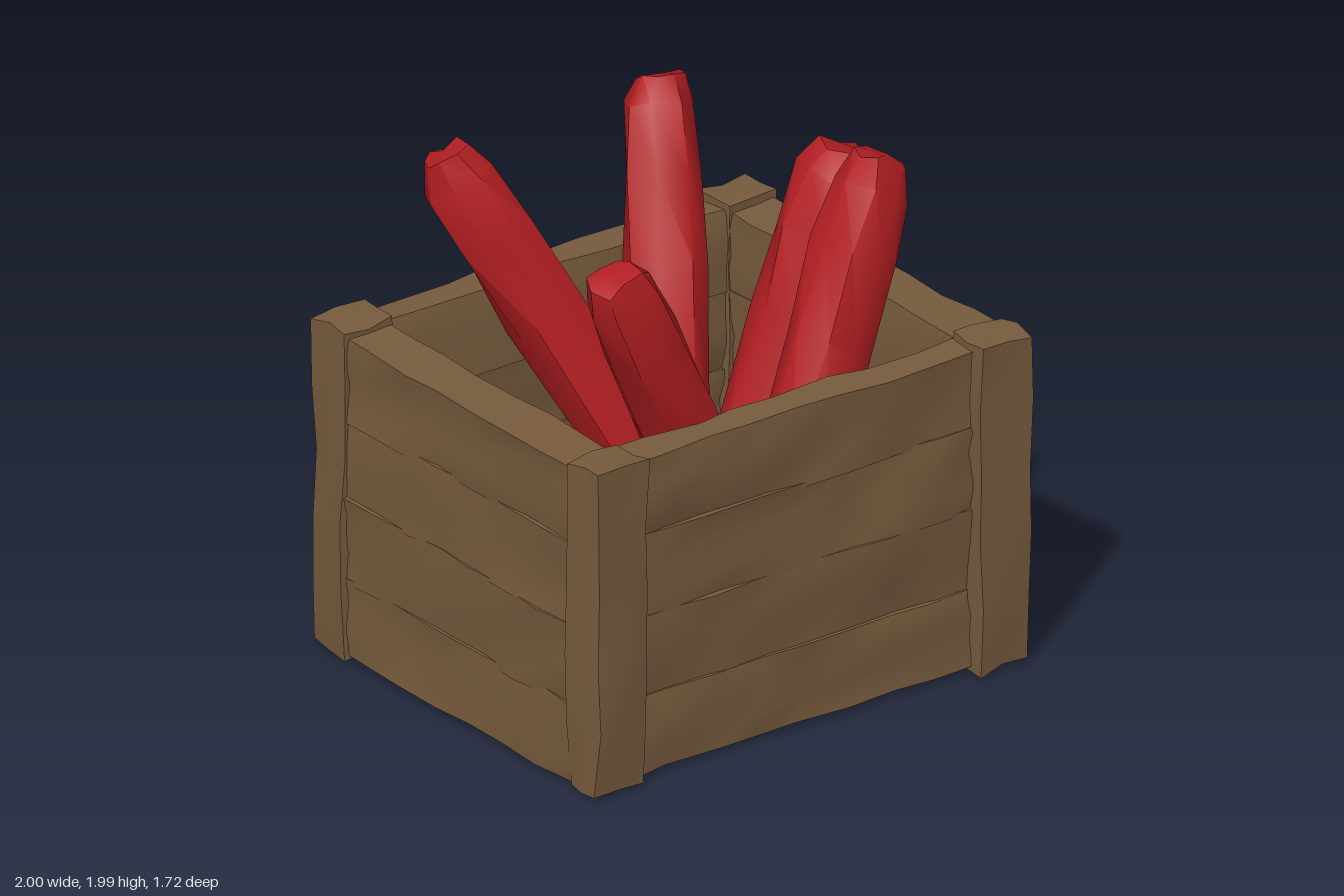
import * as THREE from 'three';
import { toCreasedNormals } from 'three/addons/utils/BufferGeometryUtils.js';

// repeatable noise from a position, so shared corners stay joined
function hash(x, y, z, seed) {
  const r = (v) => Math.round(v * 1000) / 1000;
  const s = Math.sin(r(x) * 127.1 + r(y) * 311.7 + r(z) * 74.7 + seed * 53.3) * 43758.5453;
  return (s - Math.floor(s)) * 2 - 1;
}

// dent a geometry by up to (ax, ay, az), then keep the sharper edges
function roughen(geo, ax, ay, az, seed, crease = 0.8) {
  const p = geo.attributes.position;
  for (let i = 0; i < p.count; i++) {
    const x = p.getX(i), y = p.getY(i), z = p.getZ(i);
    p.setXYZ(i,
      x + ax * hash(x, y, z, seed),
      y + ay * hash(x, y, z, seed + 1),
      z + az * hash(x, y, z, seed + 2));
  }
  return toCreasedNormals(geo, crease);
}

export function createModel() {
  const group = new THREE.Group();
  const wood = new THREE.MeshStandardMaterial({ color: 0x775b3d });
  wood.name = 'brown wood';
  const red = new THREE.MeshStandardMaterial({ color: 0xb21e22 });
  red.name = 'red';

  const add = (name, geo, mat, x, y, z) => {
    const mesh = new THREE.Mesh(geo, mat);
    mesh.name = name;
    mesh.position.set(x, y, z);
    group.add(mesh);
    return mesh;
  };

  // corner posts
  let seed = 1;
  for (const sx of [-1, 1]) {
    for (const sz of [-1, 1]) {
      const geo = roughen(new THREE.BoxGeometry(0.225, 1.3, 0.18, 2, 5, 2), 0.013, 0.012, 0.013, seed++, 0.9);
      add('cornerPost', geo, wood, sx * 0.873, 0.664, sz * 0.757);
    }
  }

  // four slats on every wall, each tipped a little
  const edges = [0.03, 0.32, 0.65, 0.97, 1.28];
  const tilts = [-0.03, 0.07, -0.02, 0.05];
  for (let i = 0; i < 4; i++) {
    const h = edges[i + 1] - edges[i] + 0.015;
    const y = (edges[i + 1] + edges[i]) / 2;
    for (const s of [-1, 1]) {
      const long = roughen(new THREE.BoxGeometry(1.62, h, s > 0 ? 0.125 : 0.145, 8, 3, 1), 0.04, 0.006, 0.018, seed++);
      add(s > 0 ? 'frontSlat' : 'backSlat', long, wood, 0, y, s > 0 ? 0.717 : -0.757).rotation.x = s * tilts[i];
      const side = roughen(new THREE.BoxGeometry(0.195, h, 1.44, 1, 3, 7), 0.014, 0.006, 0.04, seed++);
      add(s > 0 ? 'leftSlat' : 'rightSlat', side, wood, s * 0.875, y, -0.01).rotation.z = -s * tilts[i] * 0.5;
    }
  }

  // floor planks
  for (let i = 0; i < 5; i++) {
    const geo = roughen(new THREE.BoxGeometry(1.72, 0.1, 0.31, 7, 1, 2), 0.04, 0.022, 0.006, seed++);
    add('floorPlank', geo, wood, 0, 0.09, (i - 2) * 0.295 - 0.02);
  }

  // red sticks, blunt at the tip, leaning outwards from the floor: base, tip, radius
  const profile = [[0, 0], [0.9, 0], [1, 0.2], [1, 0.42], [1, 0.64], [0.97, 0.82], [0.9, 0.94], [0.6, 1], [0, 1]];
  const sticks = [
    [[0.24, 0.15, -0.02], [-0.57, 1.93, -0.61], 0.15],
    [[0.05, 0.15, -0.04], [0.46, 1.94, -0.68], 0.15],
    [[0.1, 0.15, 0.09], [0.72, 1.86, 0.11], 0.18],
    [[-0.06, 0.15, 0.46], [0.66, 1.94, 0.39], 0.16],
    [[0.18, 0.15, 0.4], [-0.69, 1.92, 0.55], 0.155],
  ];
  const up = new THREE.Vector3(0, 1, 0);
  for (const [base, tip, radius] of sticks) {
    const dir = new THREE.Vector3(...tip).sub(new THREE.Vector3(...base));
    const points = profile.map(([r, t]) => new THREE.Vector2(r * radius, t * dir.length()));
    const geo = roughen(new THREE.LatheGeometry(points, 8), 0.016, 0.025, 0.016, seed++);
    add('stick', geo, red, ...base).quaternion.setFromUnitVectors(up, dir.normalize());
  }
  return group;
}
